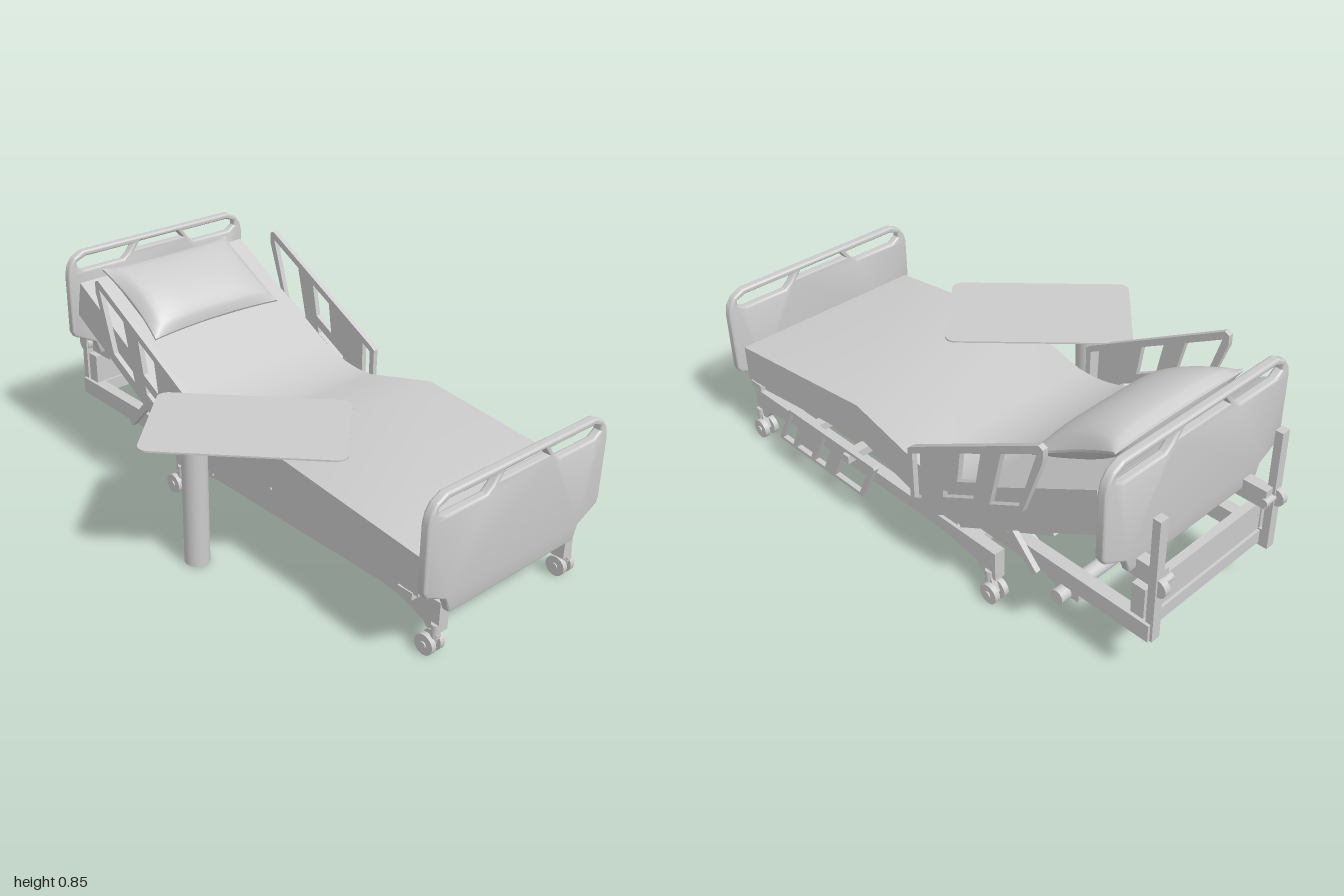
import * as THREE from 'three';
import { toCreasedNormals } from 'three/addons/utils/BufferGeometryUtils.js';

const material = new THREE.MeshStandardMaterial({ color: 0xcccccc, side: THREE.DoubleSide });

function add(parent, name, geometry, x = 0, y = 0, z = 0) {
  const mesh = new THREE.Mesh(geometry, material);
  mesh.name = name;
  mesh.position.set(x, y, z);
  parent.add(mesh);
  return mesh;
}

const box = (parent, name, w, h, d, x, y, z) => add(parent, name, new THREE.BoxGeometry(w, h, d), x, y, z);

// Cylinder lying along x
function rod(parent, name, r, length, x, y, z, sides = 20) {
  return add(parent, name, new THREE.CylinderGeometry(r, r, length, sides).rotateZ(Math.PI / 2), x, y, z);
}

// Straight bar between two [z, y] points
function bar(parent, name, a, b, x, w, h) {
  const dz = b[0] - a[0], dy = b[1] - a[1];
  const mesh = box(parent, name, w, h, Math.hypot(dz, dy), x, (a[1] + b[1]) / 2, (a[0] + b[0]) / 2);
  mesh.rotation.x = -Math.atan2(dy, dz);
  return mesh;
}

const toShape = (pts) => new THREE.Shape(pts.map(([a, b]) => new THREE.Vector2(a, b)));

// Side profile of [z, y] points, extruded across x
function profile(parent, name, pts, width, x, holes = []) {
  const flip = (list) => list.map(([z, y]) => [-z, y]);
  const shape = toShape(flip(pts));
  shape.holes = holes.map((h) => toShape(flip(h)));
  const geo = new THREE.ExtrudeGeometry(shape, { depth: width, bevelEnabled: false });
  geo.translate(0, 0, -width / 2).rotateY(Math.PI / 2);
  return add(parent, name, toCreasedNormals(geo, 0.4), x);
}

// End board with three grip openings, standing on its lower edge
function endBoard(parent, name, y, z) {
  const half = [[0.30, 0], [0.322, 0.055], [0.41, 0.10], [0.42, 0.12], [0.42, 0.35], [0.412, 0.385], [0.39, 0.415], [0.35, 0.435]];
  const mirror = (pts) => pts.map(([a, b]) => [-a, b]).reverse();
  const shape = toShape([...half, ...mirror(half)]);
  const grip = [[0.145, 0.38], [0.17, 0.36], [0.35, 0.36], [0.38, 0.38], [0.38, 0.398], [0.34, 0.413], [0.12, 0.413]];
  const middle = [[-0.118, 0.387], [0.118, 0.387], [0.092, 0.416], [-0.092, 0.416]];
  shape.holes = [grip, mirror(grip), middle].map(toShape);
  const geo = new THREE.ExtrudeGeometry(shape, {
    depth: 0.015, bevelThickness: 0.01, bevelSize: 0.008, bevelOffset: -0.008, bevelSegments: 3,
  });
  add(parent, name, toCreasedNormals(geo.translate(0, 0, -0.0075), 0.6), 0, y, z);
}

// Side rail: openings are [s0, s1, v0, v1] between its top and bottom lines
function sideRail(parent, name, x, outline, top, bottom, openings) {
  const mix = (a, b, t) => [a[0] + (b[0] - a[0]) * t, a[1] + (b[1] - a[1]) * t];
  const at = (s, v) => mix(mix(...bottom, s), mix(...top, s), v);
  const holes = openings.map(([s0, s1, v0, v1]) => [at(s0, v0), at(s1, v0), at(s1, v1), at(s0, v1)]);
  profile(parent, name, outline, 0.02, x, holes);
}

// Pillow: a flat grid puffed up in the middle, with drawn-in edges
function pillowGeometry(w, t, d) {
  const geo = new THREE.BoxGeometry(2, 2, 2, 28, 1, 20);
  const p = geo.attributes.position;
  for (let i = 0; i < p.count; i++) {
    const u = p.getX(i), v = p.getZ(i);
    const puff = Math.pow((1 - u ** 4) * (1 - v * v), 0.55);
    p.setXYZ(i, u * w / 2 * (1 - 0.06 * (1 - v * v)), p.getY(i) * (0.004 + t / 2 * puff), v * d / 2 * (1 - 0.08 * (1 - u * u)));
  }
  geo.computeVertexNormals();
  return geo;
}

function caster(parent, x, z) {
  const g = new THREE.Group();
  g.name = 'caster';
  g.position.set(x, 0, z);
  parent.add(g);
  for (const s of [-1, 1]) rod(g, 'wheel', 0.037, 0.02, s * 0.02, 0.037, -0.01, 24);
  rod(g, 'axle', 0.012, 0.07, 0, 0.037, -0.01);
  bar(g, 'fork', [-0.01, 0.03], [0.01, 0.085], 0, 0.022, 0.035);
  add(g, 'swivel', new THREE.CylinderGeometry(0.016, 0.016, 0.05, 16), 0, 0.09, 0.01);
}

export function createModel() {
  const model = new THREE.Group();
  model.name = 'adjustableBed';
  const bed = new THREE.Group();
  bed.name = 'bed';
  bed.position.x = 0.165;
  model.add(bed);

  // Mattress with raised knee and backrest, softly curved at the hip
  const hip = new THREE.QuadraticBezierCurve(
    new THREE.Vector2(-0.08, 0.395), new THREE.Vector2(-0.20, 0.395), new THREE.Vector2(-0.31, 0.458));
  profile(bed, 'mattress', [
    [0.95, 0.26], [0.95, 0.40], [0.27, 0.475], [-0.03, 0.397],
    ...hip.getPoints(8).map((q) => [q.x, q.y]),
    [-0.81, 0.735], [-0.84, 0.60], [-0.21, 0.25], [-0.04, 0.25], [0.27, 0.34],
  ], 0.78, 0);

  // Hinged deck panels
  const deck = [[[0.92, 0.243], [0.275, 0.322]], [[0.265, 0.322], [-0.035, 0.236]], [[-0.045, 0.238], [-0.205, 0.238]], [[-0.215, 0.236], [-0.83, 0.583]]];
  for (const [a, b] of deck) bar(bed, 'deckPanel', a, b, 0, 0.75, 0.018);

  const pillow = add(bed, 'pillow', pillowGeometry(0.59, 0.13, 0.37), -0.017, 0.69, -0.61);
  pillow.rotation.x = 0.5;

  endBoard(bed, 'footboard', 0.19, 0.983);
  endBoard(bed, 'headboard', 0.41, -0.853);

  // Upper frame, backrest supports and head end
  for (const s of [-1, 1]) {
    box(bed, 'frameBeam', 0.045, 0.065, 1.88, s * 0.29, 0.233, -0.02);
    box(bed, 'boardMount', 0.08, 0.03, 0.08, s * 0.23, 0.25, 0.94);
    box(bed, 'cornerBumper', 0.08, 0.026, 0.06, s * 0.355, 0.253, 0.90);
    bar(bed, 'backFrame', [-0.38, 0.32], [-0.60, 0.435], s * 0.33, 0.03, 0.045);
    bar(bed, 'backStrut', [-0.38, 0.42], [-0.55, 0.24], s * 0.36, 0.02, 0.025);
    box(bed, 'headPost', 0.035, 0.46, 0.028, s * 0.285, 0.43, -0.955);
    box(bed, 'headBracket', 0.03, 0.17, 0.05, s * 0.285, 0.295, -0.905);
    box(bed, 'boardBracket', 0.04, 0.07, 0.14, s * 0.255, 0.415, -0.89);
    rod(bed, 'wallBumper', 0.032, 0.022, s * 0.285, 0.41, -0.968);
    rod(bed, 'bumperHub', 0.014, 0.06, s * 0.255, 0.41, -0.96);
  }
  box(bed, 'headPanel', 0.58, 0.13, 0.03, 0, 0.31, -0.91);
  box(bed, 'headCrossBeam', 0.59, 0.05, 0.05, 0, 0.235, -0.91);
  for (const z of [0.88, 0.27, -0.2]) box(bed, 'crossBeam', 0.58, 0.04, 0.04, 0, 0.225, z);

  // Lifting arms with their cross tubes
  for (const x of [-0.24, 0.24]) {
    bar(bed, 'footLiftArm', [0.86, 0.09], [0.55, 0.20], x, 0.03, 0.045);
    bar(bed, 'headLiftArm', [-0.29, 0.26], [-0.58, 0.105], x, 0.03, 0.05);
    profile(bed, 'liftBracket', [[-0.48, 0.20], [-0.64, 0.20], [-0.63, 0.09], [-0.55, 0.09]], 0.025, x);
  }
  rod(bed, 'footLiftTube', 0.027, 0.55, 0.02, 0.094, 0.85);
  rod(bed, 'headLiftTube', 0.027, 0.55, 0.02, 0.105, -0.575);

  // Wheeled base
  const base = new THREE.Group();
  base.name = 'base';
  base.position.x = 0.035;
  bed.add(base);
  for (const s of [-1, 1]) {
    profile(base, 'baseBeam', [
      [0.96, 0.20], [0.96, 0.085], [0.91, 0.085], [0.88, 0.125], [0.72, 0.15], [-0.12, 0.15],
      [-0.28, 0.125], [-0.32, 0.085], [-0.37, 0.085], [-0.37, 0.20],
    ], 0.042, s * 0.31);
    caster(base, s * 0.327, 0.935);
    caster(base, s * 0.327, -0.35);
  }
  for (const z of [0.78, -0.25]) box(base, 'baseCrossBeam', 0.6, 0.04, 0.04, 0, 0.175, z);

  // Head side rails on both sides, tilted with the backrest
  for (const s of [-1, 1]) {
    sideRail(bed, 'headSideRail', s * 0.42,
      [[-0.04, 0.27], [-0.04, 0.485], [-0.06, 0.50], [-0.625, 0.808], [-0.643, 0.80], [-0.643, 0.76], [-0.56, 0.53], [-0.53, 0.50], [-0.13, 0.26], [-0.06, 0.25]],
      [[-0.05, 0.48], [-0.635, 0.795]], [[-0.05, 0.26], [-0.55, 0.53]],
      [[0.02, 0.09, 0.12, 0.95], [0.42, 0.58, 0.45, 0.95], [0.73, 0.98, 0.08, 0.95], [0.3, 0.58, 0.16, 0.28]]);
    for (const [z, y] of [[-0.27, 0.36], [-0.45, 0.46]]) {
      box(bed, 'railBracket', 0.06, 0.03, 0.05, s * 0.385, y, z).rotation.x = 0.5;
    }
  }

  // Lowered foot side rail on the left only
  sideRail(bed, 'footSideRail', 0.41,
    [[0.65, 0.28], [0.17, 0.28], [0.165, 0.27], [0.245, 0.11], [0.73, 0.11], [0.735, 0.12]],
    [[0.65, 0.275], [0.175, 0.275]], [[0.73, 0.115], [0.25, 0.115]],
    [[0.02, 0.15, 0.05, 0.95], [0.43, 0.55, 0.05, 0.95], [0.68, 0.97, 0.05, 0.95], [0.2, 0.38, 0.05, 0.24]]);
  for (const z of [0.55, 0.33]) box(bed, 'footRailBracket', 0.12, 0.03, 0.04, 0.36, 0.235, z);

  // Bedside table: rounded top turned over the bed on a single post
  const w = 0.335, d = 0.21, r = 0.04;
  const top = new THREE.Shape();
  top.absarc(w - r, d - r, r, 0, Math.PI / 2);
  top.absarc(r - w, d - r, r, Math.PI / 2, Math.PI);
  top.absarc(r - w, r - d, r, Math.PI, Math.PI * 1.5);
  top.absarc(w - r, r - d, r, Math.PI * 1.5, Math.PI * 2);
  const topGeo = new THREE.ExtrudeGeometry(top, { depth: 0.006, bevelEnabled: false, curveSegments: 8 }).rotateX(-Math.PI / 2);
  add(model, 'tableTop', topGeo, -0.24, 0.533, 0.19).rotation.y = -0.81;
  add(model, 'tablePost', new THREE.CylinderGeometry(0.045, 0.045, 0.53, 20), -0.37, 0.268, 0.065);

  return model;
}
